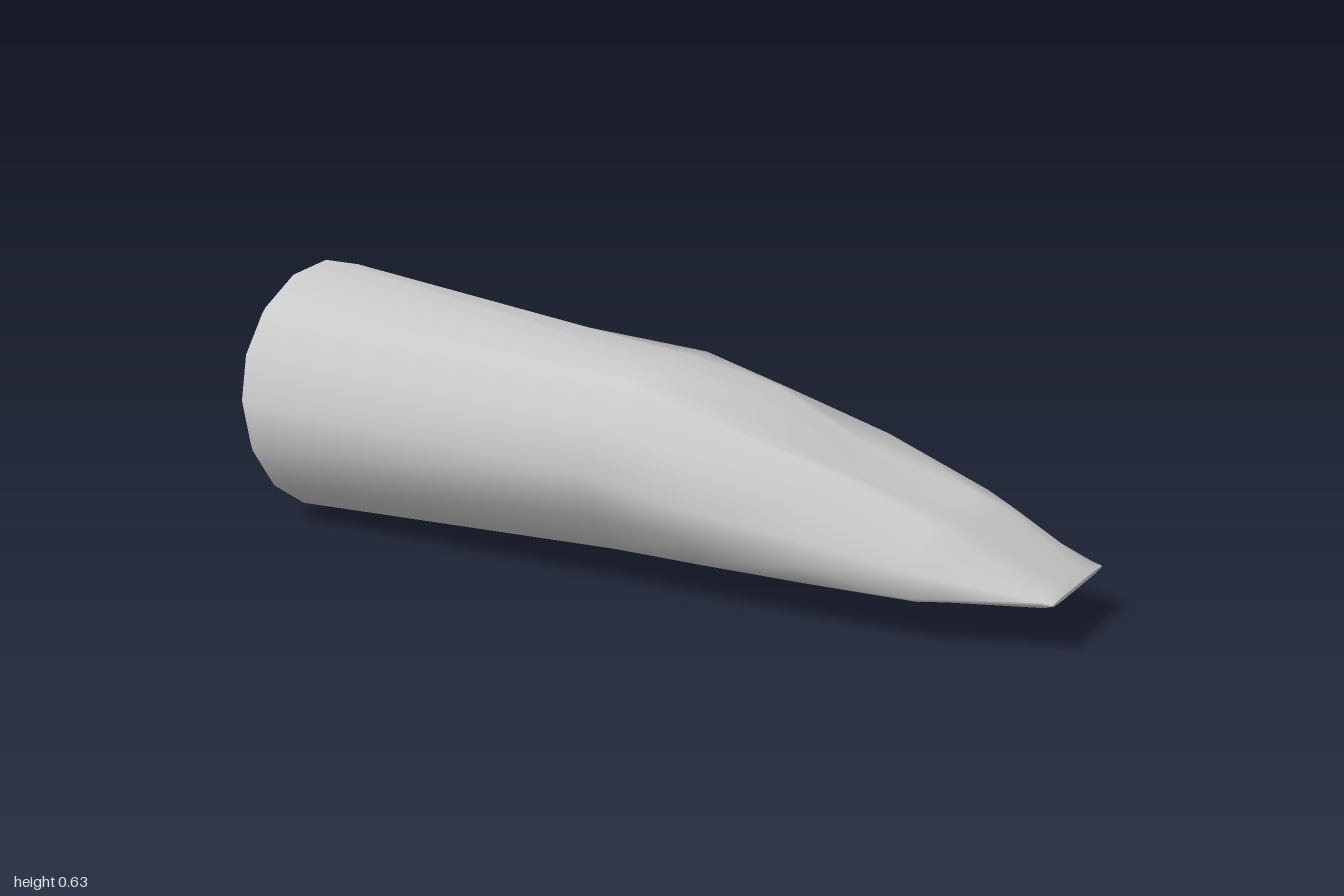
import * as THREE from 'three';

// Half outlines [z, y] run from top centre down the side to bottom centre
const circle = (r) => Array.from({ length: 9 }, (_, i) => {
  const a = (i * Math.PI) / 8;
  return [r * Math.sin(a), 0.315 + r * Math.cos(a)];
});

// Cross-sections along x, from the round butt to the chisel tip
const sections = [
  [-1, circle(0.288)],
  [-0.97, circle(0.315)],
  [0.02, [[0, 0.46], [0.12, 0.46], [0.205, 0.455], [0.275, 0.365], [0.328, 0.27], [0.295, 0.17], [0.21, 0.077], [0.12, 0.05], [0, 0.04]]],
  [0.25, [[0, 0.41], [0.12, 0.41], [0.195, 0.39], [0.26, 0.31], [0.305, 0.22], [0.286, 0.145], [0.225, 0.08], [0.12, 0.058], [0, 0.05]]],
  [0.5, [[0, 0.3], [0.1, 0.3], [0.18, 0.318], [0.222, 0.25], [0.262, 0.18], [0.278, 0.13], [0.235, 0.083], [0.12, 0.065], [0, 0.06]]],
  [0.74, [[0, 0.23], [0.1, 0.23], [0.165, 0.225], [0.21, 0.18], [0.23, 0.14], [0.252, 0.095], [0.22, 0.08], [0.12, 0.071], [0, 0.07]]],
  [0.8, [[0, 0.21], [0.1, 0.21], [0.15, 0.2], [0.19, 0.165], [0.21, 0.13], [0.23, 0.097], [0.2, 0.083], [0.12, 0.074], [0, 0.073]]],
  [0.98, [[0, 0.113], [0.07, 0.113], [0.115, 0.112], [0.145, 0.108], [0.16, 0.102], [0.166, 0.096], [0.15, 0.088], [0.09, 0.081], [0, 0.08]]],
  [1, [[0, 0.1], [0.07, 0.1], [0.11, 0.1], [0.14, 0.099], [0.155, 0.098], [0.157, 0.096], [0.145, 0.094], [0.09, 0.092], [0, 0.092]]],
];

// Full ring: one half plus its mirror image
const ring = ([x, half]) => [
  ...half.map(([z, y]) => [x, y, z]),
  ...half.slice(1, -1).reverse().map(([z, y]) => [x, y, -z]),
];

function build(points, index) {
  const geo = new THREE.BufferGeometry();
  geo.setAttribute('position', new THREE.Float32BufferAttribute(points.flat(), 3));
  geo.setIndex(index);
  geo.computeVertexNormals();
  return geo;
}

// Smooth skin lofted through the rings
function loft(rings) {
  const n = rings[0].length;
  const index = [];
  for (let s = 0; s < rings.length - 1; s++) {
    for (let i = 0; i < n; i++) {
      const j = (i + 1) % n;
      const a = s * n + i, b = s * n + j, c = a + n, d = b + n;
      // The diagonal is mirrored on the far side
      if (i < n / 2) index.push(a, b, c, b, d, c);
      else index.push(a, b, d, a, d, c);
    }
  }
  return build(rings.flat(), index);
}

// Flat end, fanned from its centre
function cap(points, flip) {
  const n = points.length;
  const centre = [points[0][0], (points[0][1] + points[n / 2][1]) / 2, 0];
  const index = [];
  for (let i = 0; i < n; i++) {
    const j = (i + 1) % n;
    index.push(n, flip ? j : i, flip ? i : j);
  }
  return build([...points, centre], index);
}

export function createModel() {
  const group = new THREE.Group();
  group.name = 'taperedShaft';
  const grey = new THREE.MeshStandardMaterial({ color: 0xcccccc });
  grey.name = 'light grey';
  const rings = sections.map(ring);

  const add = (name, geo) => {
    const mesh = new THREE.Mesh(geo, grey);
    mesh.name = name;
    group.add(mesh);
  };
  add('body', loft(rings));
  add('buttEnd', cap(rings[0], true));
  add('tipEdge', cap(rings[rings.length - 1], false));
  return group;
}
